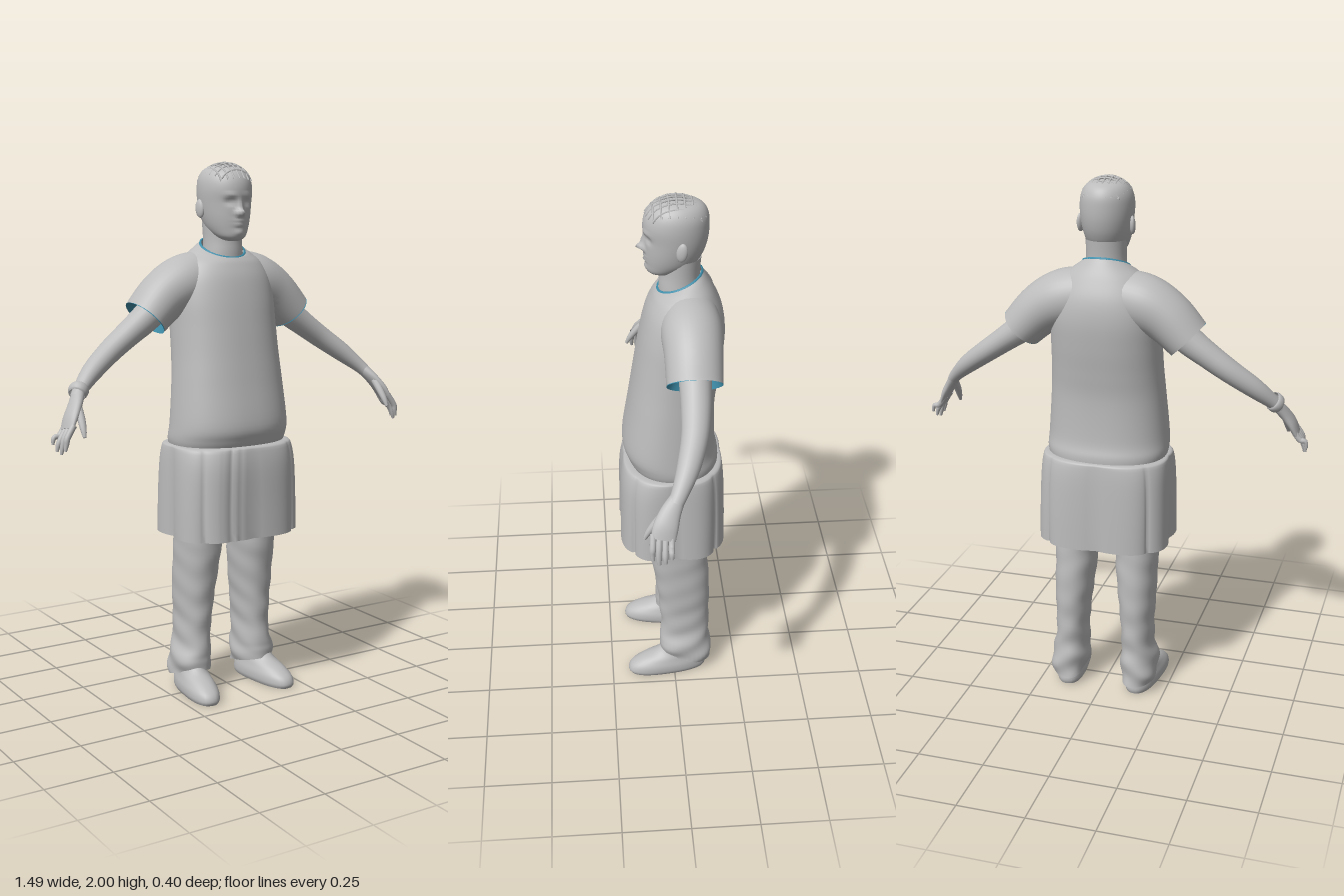
import * as THREE from 'three';

const V = (x, y, z) => new THREE.Vector3(x, y, z);
const grey = new THREE.MeshStandardMaterial({ name: 'grey', color: 0xbcbcbc, side: THREE.DoubleSide });
const teal = new THREE.MeshStandardMaterial({ name: 'teal trim', color: 0x3f8fab, side: THREE.DoubleSide });

// Smooth (Catmull-Rom) interpolation of rows of numbers
function smooth(rows, steps) {
  const out = [], last = rows.length - 1;
  for (let i = 0; i < last; i++) {
    const [a, b, c, d] = [i - 1, i, i + 1, i + 2].map(k => rows[Math.max(0, Math.min(last, k))]);
    for (let s = 0; s < steps; s++) {
      const t = s / steps;
      out.push(b.map((_, k) => b[k] + 0.5 * t * (c[k] - a[k]
        + t * (2 * a[k] - 5 * b[k] + 4 * c[k] - d[k] + t * (3 * (b[k] - c[k]) + d[k] - a[k])))));
    }
  }
  out.push(rows[last]);
  return out;
}

// Surface through closed rings of points, optionally capped at either end
function skin(name, rings, material, capStart = false, capEnd = false) {
  const n = rings[0].length, pos = [], idx = [];
  rings.forEach(r => r.forEach(p => pos.push(p.x, p.y, p.z)));
  for (let i = 0; i < rings.length - 1; i++) for (let j = 0; j < n; j++) {
    const a = i * n + j, b = i * n + (j + 1) % n;
    idx.push(a, b, a + n, b, b + n, a + n);
  }
  const cap = (ring, flip) => {
    const base = pos.length / 3, c = V(0, 0, 0);
    ring.forEach(p => { c.add(p); pos.push(p.x, p.y, p.z); });
    c.divideScalar(n);
    pos.push(c.x, c.y, c.z);
    for (let j = 0; j < n; j++) {
      const a = base + j, b = base + (j + 1) % n;
      idx.push(base + n, ...(flip ? [b, a] : [a, b]));
    }
  };
  if (capStart) cap(rings[0], true);
  if (capEnd) cap(rings[rings.length - 1], false);
  const g = new THREE.BufferGeometry();
  g.setAttribute('position', new THREE.Float32BufferAttribute(pos, 3));
  g.setIndex(idx);
  g.computeVertexNormals();
  const m = new THREE.Mesh(g, material);
  m.name = name;
  return m;
}

// Level cross-sections from bottom to top: [y, halfWidth, zFront, zBack, tilt, squareness, centreX]
function levels(rows, seg, steps) {
  const full = rows.map(([y, w, f, b, tilt = 0, n = 2, cx = 0]) => [y, w, f, b, tilt, n, cx]);
  return smooth(full, steps).map(([y, w, f, b, tilt, n, cx]) => Array.from({ length: seg }, (_, j) => {
    const t = j / seg * Math.PI * 2, e = 2 / n;
    const c = Math.sign(Math.cos(t)) * Math.abs(Math.cos(t)) ** e;
    const s = Math.sign(Math.sin(t)) * Math.abs(Math.sin(t)) ** e;
    return V(cx + w * s, y + tilt * c, (f + b) / 2 + (f - b) / 2 * c);
  }));
}

// Cross-sections square to a path: [x, y, z, radiusAcross, radiusFrontBack]; side mirrors x
function along(rows, side, seg, steps) {
  const pts = smooth(rows, steps), P = r => V(r[0] * side, r[1], r[2]);
  return pts.map((r, i) => {
    const t = P(pts[Math.min(i + 1, pts.length - 1)]).sub(P(pts[Math.max(i - 1, 0)])).normalize();
    const v = V(0, 0, 1).addScaledVector(t, -t.z).normalize();
    const u = v.clone().cross(t);
    return Array.from({ length: seg }, (_, j) => {
      const a = j / seg * Math.PI * 2;
      return P(r).addScaledVector(u, r[3] * Math.cos(a)).addScaledVector(v, r[4] * Math.sin(a));
    });
  });
}

function makeHead() {
  const g = new THREE.Group();
  g.name = 'head';
  const rings = levels([
    [1.716, 0.025, 0.07, 0.0], [1.73, 0.052, 0.085, -0.03], [1.76, 0.073, 0.09, -0.085],
    [1.8, 0.086, 0.093, -0.112], [1.85, 0.094, 0.094, -0.127], [1.9, 0.097, 0.099, -0.131],
    [1.94, 0.091, 0.09, -0.127], [1.97, 0.073, 0.066, -0.108], [1.986, 0.045, 0.03, -0.07], [1.99, 0.01, -0.01, -0.03],
  ], 72, 6);
  // Face relief: [x, y, spreadX, spreadY, depth]
  const relief = [
    [0.036, 1.857, 0.016, 0.011, -0.013], [-0.036, 1.857, 0.016, 0.011, -0.013],
    [0.036, 1.857, 0.009, 0.005, 0.006], [-0.036, 1.857, 0.009, 0.005, 0.006],
    [0, 1.818, 0.012, 0.012, 0.03], [0, 1.842, 0.008, 0.018, 0.012], [0.015, 1.812, 0.007, 0.007, 0.01],
    [-0.015, 1.812, 0.007, 0.007, 0.01], [0, 1.789, 0.022, 0.005, 0.009], [0, 1.774, 0.02, 0.005, 0.009],
    [0, 1.782, 0.022, 0.002, -0.005], [0, 1.745, 0.02, 0.012, 0.006],
    [0.035, 1.88, 0.022, 0.007, 0.006], [-0.035, 1.88, 0.022, 0.007, 0.006],
  ];
  rings.flat().filter(p => p.z > 0).forEach(p => {
    for (const [x, y, sx, sy, d] of relief) p.z += d * Math.exp(-(((p.x - x) / sx) ** 2) - ((p.y - y) / sy) ** 2);
  });
  g.add(skin('face and skull', rings, grey, true, true));
  g.add(skin('neck', levels([[1.6, 0.085, 0.045, -0.11], [1.67, 0.076, 0.045, -0.102],
    [1.72, 0.073, 0.04, -0.1], [1.78, 0.075, 0.04, -0.105]], 32, 4), grey));
  for (const s of [-1, 1]) {
    const ear = new THREE.Mesh(new THREE.SphereGeometry(1, 16, 12), grey);
    ear.name = 'ear';
    ear.scale.set(0.011, 0.034, 0.02);
    ear.position.set(s * 0.096, 1.832, -0.03);
    ear.rotation.set(-0.15, s * -0.3, 0);
    g.add(ear);
  }
  // Crossed locks of hair lying over the crown
  const crown = (x, z) => V(x, 1.895 + 0.102 * Math.sqrt(Math.max(0, 1 - (x / 0.101) ** 2 - ((z + 0.016) / 0.12) ** 2)), z);
  const lock = (point) => {
    const curve = new THREE.CatmullRomCurve3(Array.from({ length: 9 }, (_, i) => point(i / 4 - 1)));
    const m = new THREE.Mesh(new THREE.TubeGeometry(curve, 16, 0.004, 5), grey);
    m.name = 'hair lock';
    g.add(m);
  };
  for (let i = -3; i <= 3; i++) {
    const x = i * 0.021, l = 0.108 * Math.sqrt(1 - (x / 0.1) ** 2);
    lock(t => crown(x, -0.016 + t * l));
    const z = i * 0.027, w = 0.083 * Math.sqrt(1 - (z / 0.12) ** 2);
    lock(t => crown(t * w, z - 0.016));
  }
  return g;
}

function makeArm(side) {
  const g = new THREE.Group();
  g.name = side > 0 ? 'leftArm' : 'rightArm';
  const sleeve = [[0.06, 1.575, -0.06, 0.105, 0.1], [0.15, 1.56, -0.06, 0.105, 0.108],
    [0.235, 1.515, -0.06, 0.095, 0.102], [0.313, 1.44, -0.058, 0.083, 0.098]];
  g.add(skin('sleeve', along(sleeve, side, 36, 6), grey));
  g.add(skin('sleeve lining', along([[0.29, 1.463, -0.058, 0.066, 0.08],
    [0.314, 1.439, -0.058, 0.083, 0.098]], side, 36, 1), teal));
  g.add(skin('forearm', along([[0.22, 1.52, -0.06, 0.06, 0.06], [0.31, 1.44, -0.06, 0.054, 0.056],
    [0.385, 1.385, -0.056, 0.047, 0.052], [0.465, 1.328, -0.045, 0.042, 0.047], [0.55, 1.265, -0.017, 0.036, 0.04],
    [0.61, 1.212, 0.014, 0.026, 0.03], [0.637, 1.183, 0.033, 0.022, 0.027]], side, 24, 5), grey));
  g.add(skin('palm', along([[0.625, 1.197, 0.024, 0.022, 0.027], [0.652, 1.16, 0.05, 0.02, 0.036],
    [0.678, 1.12, 0.068, 0.018, 0.043], [0.697, 1.082, 0.078, 0.012, 0.042]], side, 20, 4), grey, false, true));
  for (let i = 0; i < 4; i++) {
    const z = 0.047 + i * 0.021, drop = [0.03, 0.008, 0, 0.014][i], x = 0.739 - i * 0.006;
    g.add(skin('finger', along([[0.685, 1.1, z, 0.011, 0.011], [0.712, 1.06, z + 0.004, 0.011, 0.011],
      [x - 0.005, 1.025 + drop, z + 0.005, 0.009, 0.01], [x, 1.0 + drop, z + 0.004, 0.005, 0.006]], side, 10, 3), grey, false, true));
  }
  g.add(skin('thumb', along([[0.648, 1.16, 0.065, 0.014, 0.016], [0.652, 1.12, 0.1, 0.014, 0.014],
    [0.656, 1.085, 0.125, 0.011, 0.011], [0.658, 1.06, 0.138, 0.006, 0.006]], side, 10, 3), grey, false, true));
  if (side < 0) g.add(skin('wristband', along([[0.613, 1.216, 0.012, 0.03, 0.034],
    [0.618, 1.211, 0.016, 0.035, 0.039], [0.628, 1.199, 0.024, 0.034, 0.038], [0.633, 1.194, 0.028, 0.028, 0.032]], side, 20, 2), grey));
  return g;
}

function makeLeg(side) {
  const g = new THREE.Group();
  g.name = side > 0 ? 'leftLeg' : 'rightLeg';
  const rows = [[0.065, 0.066, 0.055, -0.148, 0.028, 0.142], [0.1, 0.072, 0.06, -0.15, 0.022, 0.141],
    [0.14, 0.07, 0.056, -0.145, 0.01, 0.139], [0.2, 0.061, 0.05, -0.14, 0, 0.134], [0.3, 0.063, 0.055, -0.14, 0, 0.13],
    [0.4, 0.071, 0.065, -0.14, 0, 0.127], [0.5, 0.077, 0.08, -0.135, 0, 0.122],
    [0.6, 0.082, 0.094, -0.127, 0, 0.119], [0.8, 0.09, 0.1, -0.12, 0, 0.11]];
  const rings = levels(rows.map(([y, w, f, b, t, cx]) => [y, w, f, b, t, 2.2, cx * side]), 36, 6);
  // Soft folds in the cloth, strongest near the ankle
  rings.flat().forEach(p => {
    const k = 0.005 * Math.max(0.2, 1 - p.y / 0.55);
    p.x += side * k * Math.sin(p.y * 62 + p.z * 25);
    p.z += k * Math.sin(p.y * 55 + p.x * 30 * side);
  });
  g.add(skin('trouser leg', rings, grey));
  const shoe = skin('shoe', levels([[0, 0.054, 0.18, -0.125, 0, 2.5], [0.015, 0.061, 0.187, -0.13, 0, 2.4],
    [0.04, 0.061, 0.175, -0.128, 0, 2.3], [0.065, 0.054, 0.135, -0.122, 0, 2.2],
    [0.09, 0.048, 0.075, -0.115], [0.12, 0.044, 0.04, -0.11]], 36, 4), grey, true, true);
  shoe.position.x = side * 0.15;
  shoe.rotation.y = side * 0.13;
  g.add(shoe);
  return g;
}

export function createModel() {
  const model = new THREE.Group();
  model.name = 'standing man';
  model.add(makeHead());

  // Loose shirt
  model.add(skin('shirt', levels([
    [0.955, 0.22, 0.155, -0.172, 0, 2.3], [0.99, 0.229, 0.172, -0.172, 0, 2.3], [1.05, 0.227, 0.185, -0.16, 0, 2.3],
    [1.2, 0.215, 0.162, -0.157, 0, 2.3], [1.3, 0.208, 0.146, -0.168, 0, 2.3], [1.4, 0.205, 0.13, -0.182, 0, 2.3],
    [1.5, 0.203, 0.112, -0.19, 0, 2.3], [1.58, 0.192, 0.092, -0.181, 0, 2.2], [1.64, 0.16, 0.07, -0.153, -0.01, 2.1],
    [1.675, 0.115, 0.056, -0.126, -0.024], [1.69, 0.086, 0.05, -0.11, -0.034]], 64, 6), grey));
  model.add(skin('shirt hem lining', levels([[0.948, 0.214, 0.15, -0.166, 0, 2.3],
    [0.957, 0.221, 0.156, -0.173, 0, 2.3]], 64, 1), teal));
  model.add(skin('collar trim', levels([[1.684, 0.09, 0.054, -0.113, -0.034], [1.693, 0.087, 0.052, -0.111, -0.034],
    [1.692, 0.08, 0.046, -0.105, -0.034]], 48, 1), teal));

  // Pleated cloth hanging from the waist
  const cloth = levels([[0.625, 0.256, 0.206, -0.202, 0, 3], [0.75, 0.254, 0.203, -0.2, 0, 3],
    [0.88, 0.25, 0.2, -0.196, 0, 2.9], [0.95, 0.244, 0.19, -0.19, 0, 2.7], [0.968, 0.235, 0.178, -0.182, 0, 2.5],
    [0.97, 0.2, 0.14, -0.15, 0, 2.4]], 128, 3);
  cloth.forEach((ring, i) => ring.forEach((p, j) => {
    const a = j / 128 * Math.PI * 2, depth = 0.075 * Math.max(0.2, 1 - i / 16);
    const frontFold = Math.exp(-(((a - 6.05) / 0.12) ** 2)) * 0.06 * Math.cos(a * 40);
    const k = 1 - depth * (1 - Math.abs(Math.sin(4 * a)) ** 0.5) - Math.abs(frontFold);
    p.x *= k;
    p.z *= k;
  }));
  model.add(skin('waist cloth', cloth, grey));

  for (const side of [1, -1]) model.add(makeArm(side), makeLeg(side));
  return model;
}
